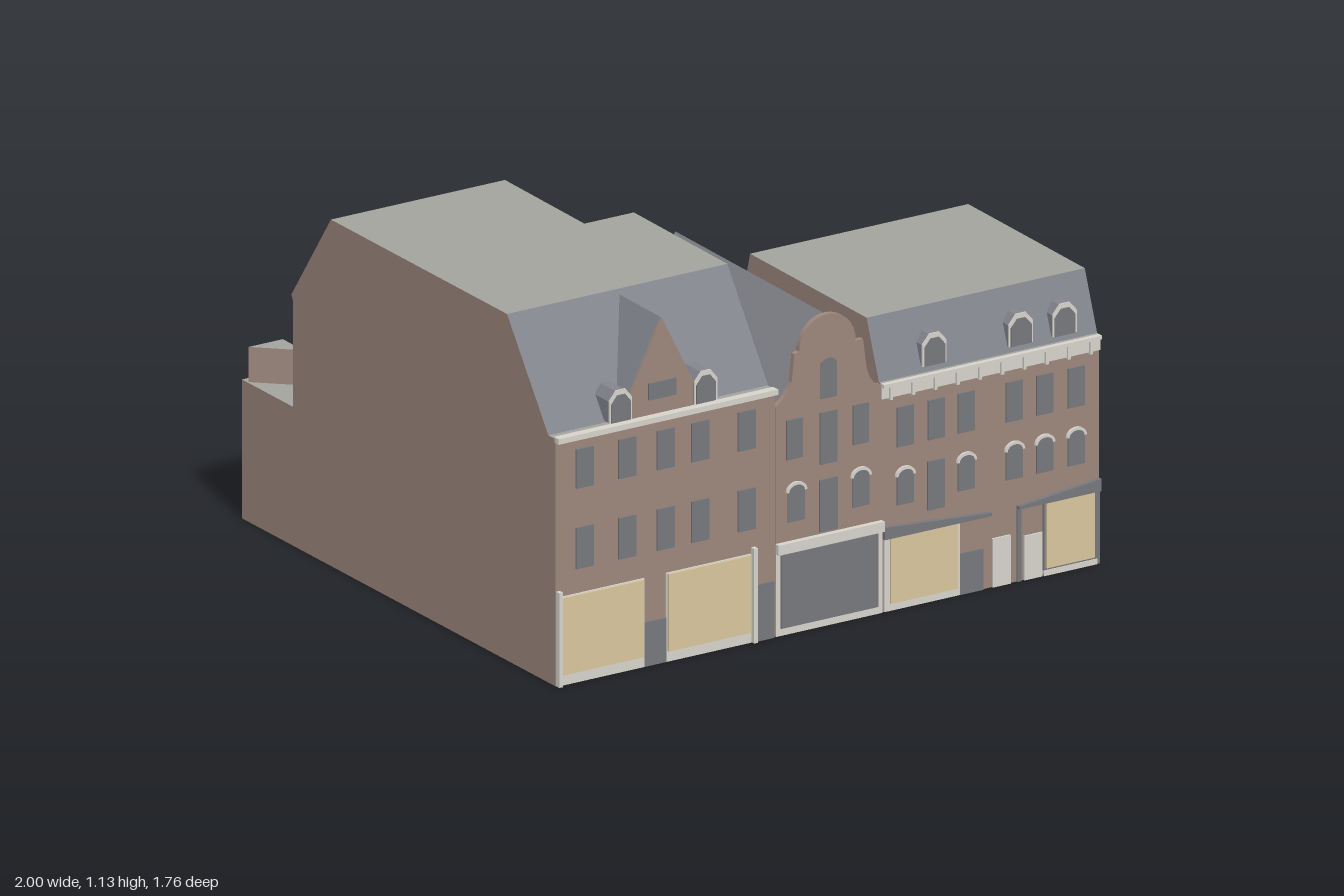
import * as THREE from 'three';

const mat = (name, color, side = THREE.FrontSide) => {
  const m = new THREE.MeshStandardMaterial({ color, side });
  m.name = name;
  return m;
};
const FRONT = 0.86; // plane of the street facades

export function createModel() {
  const model = new THREE.Group();
  model.name = 'townhouseRow';
  const brick = mat('brick', 0x9c877d);
  const flatRoof = mat('flatRoof', 0xa3a39e);
  const slate = mat('slate', 0x83858d);
  const glass = mat('glass', 0x77787d);
  const cream = mat('creamShopWindow', 0xd9c69c);
  const white = mat('whiteTrim', 0xd6d3cb);

  const add = (name, geometry, material, parent = model) => {
    const mesh = new THREE.Mesh(geometry, material);
    mesh.name = name;
    parent.add(mesh);
    return mesh;
  };
  const group = (name) => {
    const g = new THREE.Group();
    g.name = name;
    model.add(g);
    return g;
  };
  const polygon = (points) => new THREE.Shape(points.map(([x, y]) => new THREE.Vector2(x, y)));
  const extrude = (shape, depth, z) =>
    new THREE.ExtrudeGeometry(shape, { depth, bevelEnabled: false, curveSegments: 10 }).translate(0, 0, z);

  // Masses: walls are brick, slopes slate and level tops flat roofing
  const mass = (name, geometry, parent) => {
    const geo = geometry.index ? geometry.toNonIndexed() : geometry;
    geo.computeVertexNormals();
    geo.clearGroups();
    const n = geo.attributes.normal;
    for (let i = 0; i < n.count; i += 3) {
      const up = n.getY(i);
      geo.addGroup(i, 3, up > 0.95 ? 1 : up > 0.1 ? 2 : 0);
    }
    return add(name, geo, [brick, flatRoof, slate], parent);
  };
  // Side profile of [z, y] points extruded from x0 to x1
  const across = (points, x0, x1) =>
    extrude(polygon(points.map(([z, y]) => [-z, y])), x1 - x0, 0).rotateY(Math.PI / 2).translate(x0, 0, 0);
  const box = (x0, x1, y0, y1, z0, z1) =>
    new THREE.BoxGeometry(x1 - x0, y1 - y0, z1 - z0).translate((x0 + x1) / 2, (y0 + y1) / 2, (z0 + z1) / 2);
  // Thin plate on the facade
  const plate = (name, material, x0, x1, y0, y1, parent, lift = 0, depth = 0.006) =>
    add(name, box(x0, x1, y0, y1, FRONT + lift, FRONT + lift + depth), material, parent);

  const archShape = (w, h) => {
    const s = new THREE.Shape();
    const spring = h - w * 0.35;
    s.moveTo(-w / 2, 0);
    s.lineTo(w / 2, 0);
    s.lineTo(w / 2, spring);
    s.absellipse(0, spring, w / 2, w * 0.35, 0, Math.PI, false);
    return s;
  };
  const archWindow = (x, y0, y1, w, parent, trimmed = true) => {
    add('archedWindow', extrude(archShape(w, y1 - y0), 0.006, FRONT).translate(x, y0, 0), glass, parent);
    if (!trimmed) return;
    const hood = new THREE.Shape();
    hood.absellipse(0, 0, w * 0.6, w * 0.5, 0, Math.PI, false);
    hood.lineTo(-w * 0.46, 0);
    hood.absellipse(0, 0, w * 0.46, w * 0.34, Math.PI, 0, true);
    add('windowHood', extrude(hood, 0.009, FRONT).translate(x, y1 - w * 0.35, 0), white, parent);
  };
  const windowRow = (centres, y0, y1, w, parent) =>
    centres.forEach((x) => plate('window', glass, x - w / 2, x + w / 2, y0, y1, parent));

  // Small roof dormer with white front frame
  const dormer = (x, y, w, h, zBack, zFront, parent) => {
    const outline = (s) =>
      polygon([[-w / 2, 0], [w / 2, 0], [w / 2, h * 0.7], [w * 0.2, h], [-w * 0.2, h], [-w / 2, h * 0.7]].map(([a, b]) => [a * s, b * s]));
    add('dormerBody', extrude(outline(1), zFront - zBack, zBack).translate(x, y, 0), slate, parent);
    add('dormerFrame', extrude(outline(1.04), 0.004, zFront).translate(x, y, 0), white, parent);
    add('dormerWindow', extrude(outline(0.88), 0.003, zFront + 0.004).translate(x, y, 0), glass, parent);
  };

  // ---------- Tall left house ----------
  const tall = group('tallHouse');
  const masses = [
    mass('tallFrontBlock', across([[FRONT, 0], [FRONT, 0.81], [0.82, 0.81], [0.59, 1.135], [0.06, 1.135], [0.06, 0]], -1, -0.18), tall),
    mass('tallBackBlock', across([[0.06, 0], [0.06, 1.135], [-0.39, 1.135], [-0.61, 0.82], [-0.6, 0.8], [-0.6, 0]], -1, -0.36), tall),
    mass('rearAnnex', box(-1, -0.74, 0, 0.455, -0.885, -0.6), tall),
  ];
  // The party wall runs slightly off square
  masses.forEach(({ geometry }) => {
    const p = geometry.attributes.position;
    for (let i = 0; i < p.count; i++) if (p.getX(i) < -0.95) p.setX(i, -1 + (p.getZ(i) + 0.885) * 0.0115);
  });
  mass('rearStep', box(-0.74, -0.68, 0, 0.445, -0.66, -0.6), tall);
  mass('rearPier', box(-0.88, -0.8, 0.45, 0.68, -0.63, -0.6), tall);
  const wedge = extrude(polygon([[-0.995, 0.855], [-0.87, 0.74], [-0.87, 0.855]]), 0.115, 0)
    .rotateX(-Math.PI / 2).translate(0, 0.455, 0);
  mass('annexRoofWedge', wedge, tall);

  // Pointed cross gable
  const gableShape = polygon([[-0.74, 0.8], [-0.42, 0.8], [-0.58, 1.12]]);
  add('crossGableRoof', extrude(gableShape, 0.24, 0.59), slate, tall);
  add('crossGableWall', extrude(gableShape, 0.01, 0.83), brick, tall);
  add('gableWindow', box(-0.63, -0.53, 0.86, 0.915, 0.84, 0.846), glass, tall);
  [-0.735, -0.425].forEach((x) => dormer(x, 0.815, 0.08, 0.1, 0.76, 0.845, tall));
  add('cornice', box(-0.98, -0.18, 0.797, 0.815, 0.85, 0.878), white, tall);

  const bays = [-0.875, -0.73, -0.58, -0.455, -0.285];
  windowRow([-0.875, -0.72, -0.58, -0.455, -0.285], 0.634, 0.762, 0.064, tall);
  windowRow(bays.map((x, i) => (i === 1 ? -0.72 : x)), 0.37, 0.505, 0.064, tall);
  // Shop front
  [[-0.965, -0.665], [-0.575, -0.275]].forEach(([a, b]) => {
    plate('shopFrame', white, a - 0.005, b + 0.005, 0, 0.29, tall);
    plate('shopWindow', cream, a, b, 0.035, 0.288, tall, 0.006);
  });
  [-0.978, -0.268].forEach((x) => plate('pilaster', white, x, x + 0.014, 0, 0.31, tall, 0, 0.018));
  plate('shopDoor', glass, -0.66, -0.58, 0, 0.145, tall);
  plate('houseDoor', glass, -0.255, -0.188, 0, 0.185, tall, 0, 0.009);

  // ---------- Middle house with bell gable ----------
  const middle = group('bellGableHouse');
  mass('middleBlock', extrude(polygon([[-0.18, 0], [0.205, 0], [0.205, 0.7], [0.01, 1.015], [-0.18, 0.7]]), 0.85, 0), middle);
  mass('middleRearExtension', box(-0.185, 0.2, 0, 0.37, -0.18, 0), middle);
  const stair = extrude(polygon([[-0.18, 0], [-0.06, 0], [-0.15, 0.035]]), 0.2, 0).rotateX(-Math.PI / 2).translate(0, 0.37, 0);
  mass('rearWedge', stair, middle);

  const bell = new THREE.Shape();
  bell.moveTo(-0.18, 0);
  bell.lineTo(0.207, 0);
  bell.lineTo(0.207, 0.745);
  bell.quadraticCurveTo(0.165, 0.755, 0.152, 0.82);
  bell.lineTo(0.14, 0.91);
  bell.lineTo(0.113, 0.91);
  bell.absarc(0.01, 0.915, 0.103, 0, Math.PI, false);
  bell.lineTo(-0.11, 0.91);
  bell.lineTo(-0.12, 0.82);
  bell.quadraticCurveTo(-0.14, 0.775, -0.18, 0.75);
  add('bellGable', extrude(bell, 0.018, FRONT - 0.017), brick, middle);

  windowRow([-0.112, 0.13], 0.57, 0.7, 0.058, middle);
  windowRow([0.013], 0.53, 0.7, 0.062, middle);
  windowRow([0.013], 0.31, 0.48, 0.066, middle);
  [-0.105, 0.13].forEach((x) => archWindow(x, 0.365, 0.485, 0.062, middle));
  archWindow(0.013, 0.745, 0.875, 0.058, middle, false);
  plate('shopFrame', white, -0.18, 0.207, 0, 0.29, middle);
  plate('shopFascia', white, -0.18, 0.207, 0.27, 0.303, middle, 0, 0.02);
  plate('shopWindow', glass, -0.165, 0.19, 0.025, 0.265, middle, 0.006);

  // ---------- Right house with two fronts ----------
  const right = group('rightHouse');
  mass('rightBlock', across([[FRONT, 0], [FRONT, 0.75], [0.85, 0.75], [0.78, 0.94], [0.12, 0.94], [0.055, 0.7], [0.055, 0]], 0.205, 1), right);
  add('cornice', box(0.205, 1, 0.7, 0.738, 0.855, 0.868), white, right);
  add('corniceShelf', box(0.205, 1, 0.738, 0.75, 0.855, 0.878), white, right);
  for (let i = 0; i < 10; i++) {
    const x = 0.235 + i * 0.081;
    add('corniceBracket', box(x - 0.005, x + 0.005, 0.695, 0.74, 0.86, 0.876), white, right);
  }
  [0.405, 0.72, 0.88].forEach((x) => dormer(x, 0.77, 0.085, 0.1, 0.8, 0.85, right));

  [0.292, 0.405, 0.515, 0.69, 0.8, 0.915].forEach((x, i) => {
    windowRow([x], 0.53, 0.66, 0.06, right);
    if (i === 1) windowRow([x], 0.3, 0.46, 0.062, right);
    else archWindow(x, 0.34, 0.455, 0.06, right);
  });

  // Shop fronts with sloping fascias
  const fascia = (x0, x1, yl, yr, bottom) =>
    add('shopFascia', extrude(polygon([[x0, bottom], [x1, bottom], [x1, yr], [x0, yl]]), 0.016, FRONT), glass, right);
  fascia(0.21, 0.6, 0.28, 0.25, 0.24);
  fascia(0.7, 1, 0.25, 0.28, 0.24);
  plate('shopFrame', white, 0.215, 0.49, 0, 0.245, right, 0, 0.005);
  plate('shopWindow', cream, 0.235, 0.48, 0.025, 0.238, right, 0.005);
  plate('shopDoor', glass, 0.49, 0.575, 0, 0.135, right);
  plate('whiteDoor', white, 0.61, 0.675, 0, 0.16, right);
  plate('whiteDoor', white, 0.725, 0.79, 0, 0.145, right);
  plate('shopPost', glass, 0.7, 0.715, 0, 0.25, right);
  plate('shopFrame', glass, 0.795, 1, 0, 0.245, right, 0, 0.005);
  plate('shopWindow', cream, 0.803, 0.978, 0.025, 0.238, right, 0.005);
  plate('plinth', white, 0.795, 0.99, 0, 0.018, right, 0, 0.008);

  return model;
}
